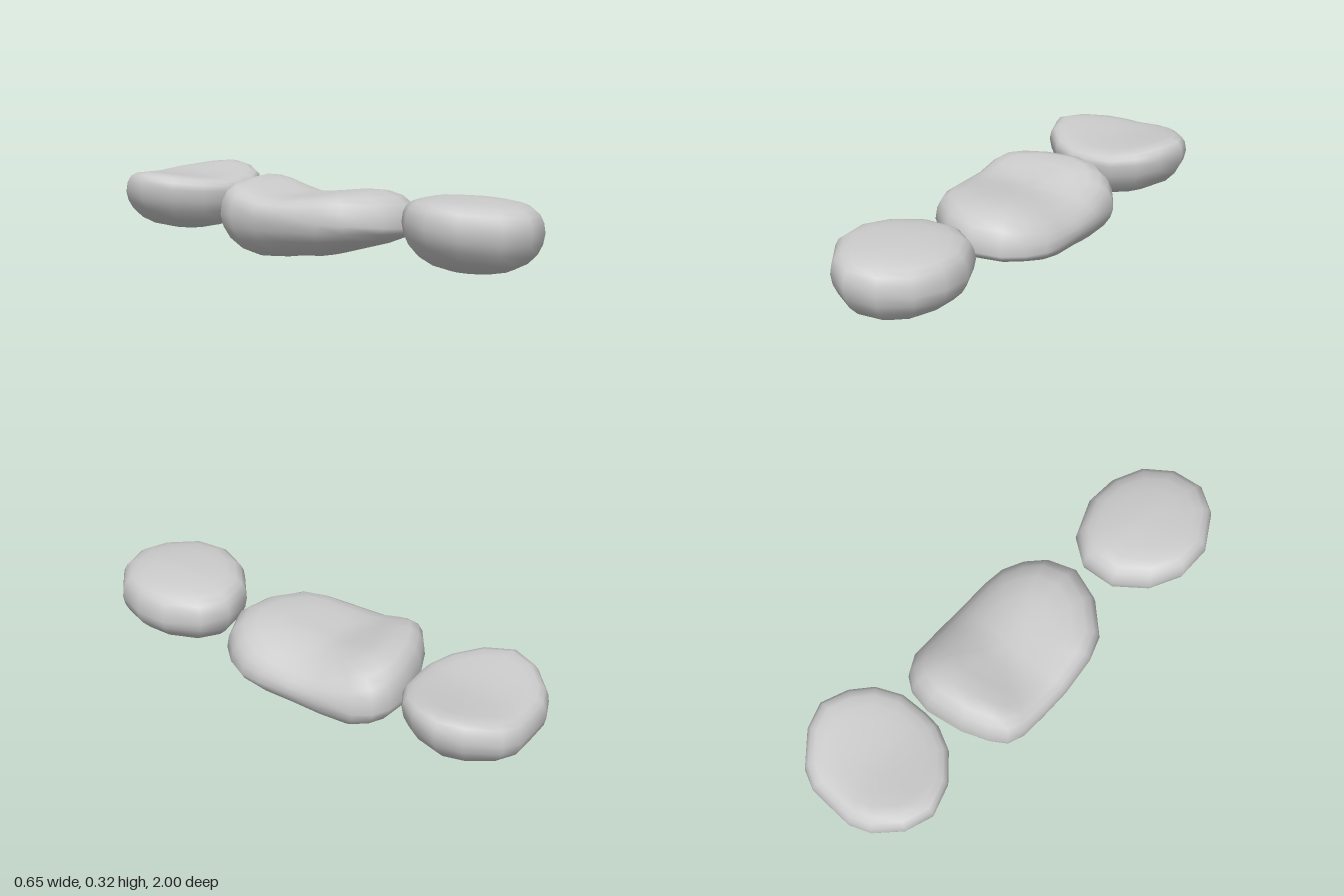
import * as THREE from 'three';

// Ring profiles: [scale of the plan outline, share of the way from waist to crown/underside]
const UPPER = [[0, 1], [0.25, 1], [0.5, 0.99], [0.7, 0.95], [0.84, 0.86], [0.93, 0.68], [0.98, 0.4]];
const LOWER = [[1, 0], [0.97, 0.26], [0.9, 0.5], [0.77, 0.72], [0.58, 0.88], [0.3, 0.98], [0, 1]];

// Smooth interpolation through [position, value] pairs in rising order
function ease(pairs, t) {
  if (t <= pairs[0][0]) return pairs[0][1];
  for (let i = 1; i < pairs.length; i++) {
    const [a, va] = pairs[i - 1], [b, vb] = pairs[i];
    if (t <= b) return va + (vb - va) * THREE.MathUtils.smoothstep(t, a, b);
  }
  return pairs[pairs.length - 1][1];
}

// A pebble: plan outline shrunk in rings towards a crown and an underside
function makeStone(name, outline, [cx, cz], waist, top, bottom) {
  const n = outline.length, pos = [], index = [];
  const rings = [...UPPER.map(([s, h]) => [s, h, top]), ...LOWER.map(([s, h]) => [s, h, bottom])];
  const starts = rings.map(([s, h, limit]) => {
    const start = pos.length / 3;
    for (const [ox, oz] of s === 0 ? [[cx, cz]] : outline) {
      const x = cx + (ox - cx) * s, z = cz + (oz - cz) * s;
      const w = waist(x, z);
      pos.push(x, w + (limit(x, z) - w) * h, z);
    }
    return start;
  });
  const last = rings.length - 1;
  for (let i = 0; i < n; i++) {
    const j = (i + 1) % n;
    index.push(starts[0], starts[1] + j, starts[1] + i);
    for (let r = 1; r < last - 1; r++) {
      const a = starts[r] + i, b = starts[r] + j, c = starts[r + 1] + i, d = starts[r + 1] + j;
      index.push(a, b, c, b, d, c);
    }
    index.push(starts[last - 1] + i, starts[last - 1] + j, starts[last]);
  }
  const geo = new THREE.BufferGeometry();
  geo.setAttribute('position', new THREE.Float32BufferAttribute(pos, 3));
  geo.setIndex(index);
  geo.computeVertexNormals();
  const mesh = new THREE.Mesh(geo, new THREE.MeshStandardMaterial({ color: 0xcccccc, roughness: 0.9 }));
  mesh.name = name;
  return mesh;
}

export function createModel() {
  const group = new THREE.Group();
  group.name = 'steppingStones';

  // Front stone: flat crown, keeled underside
  group.add(makeStone('frontStone', [
    [0, 0.42], [0.105, 0.49], [0.17, 0.635], [0.165, 0.77], [0.11, 0.895], [0, 0.98],
    [-0.13, 1], [-0.235, 0.94], [-0.325, 0.8], [-0.33, 0.66], [-0.265, 0.53], [-0.145, 0.435],
  ], [-0.08, 0.71],
  (x) => 0.205 - 0.08 * x,
  (x, z) => 0.328 - 0.25 * (z - 0.7) ** 2 - 0.12 * Math.max(0, x + 0.05),
  (x) => 0.04 + 0.6 * (x + 0.05) ** 2));

  // Middle stone: long, with a dip across the crown and an underside deepest at the back
  const crown = [[-0.36, 0.335], [-0.1, 0.275], [0.25, 0.312], [0.39, 0.3]];
  const belly = [[-0.45, 0.02], [-0.25, 0], [0, 0.03], [0.3, 0.075], [0.39, 0.09]];
  group.add(makeStone('middleStone', [
    [0.03, -0.455], [0.13, -0.44], [0.19, -0.4], [0.23, -0.33], [0.24, -0.18], [0.243, -0.04],
    [0.245, 0.1], [0.235, 0.19], [0.19, 0.275], [0.12, 0.345], [0, 0.388], [-0.14, 0.345],
    [-0.26, 0.24], [-0.3, 0.14], [-0.325, -0.03], [-0.327, -0.15], [-0.325, -0.265],
    [-0.3, -0.335], [-0.235, -0.38], [-0.13, -0.425],
  ], [-0.03, -0.06],
  (x) => 0.165 - 0.1 * x,
  (x, z) => ease(crown, z) - 1.4 * Math.max(0, x) ** 2,
  (x, z) => ease(belly, z)));

  // Back stone: crown dished between raised ends
  group.add(makeStone('backStone', [
    [0, -1], [0.11, -1], [0.19, -0.965], [0.29, -0.85], [0.325, -0.745], [0.285, -0.63],
    [0.22, -0.545], [0.12, -0.49], [0, -0.48], [-0.07, -0.485], [-0.17, -0.53], [-0.265, -0.63],
    [-0.31, -0.755], [-0.27, -0.87], [-0.175, -0.965], [-0.09, -1],
  ], [0, -0.75],
  (x, z) => 0.225 + 0.4 * x * x + 0.08 * (z + 0.74),
  (x) => 0.3 + 0.55 * x * x,
  (x) => 0.07 + 0.3 * x * x));

  return group;
}
